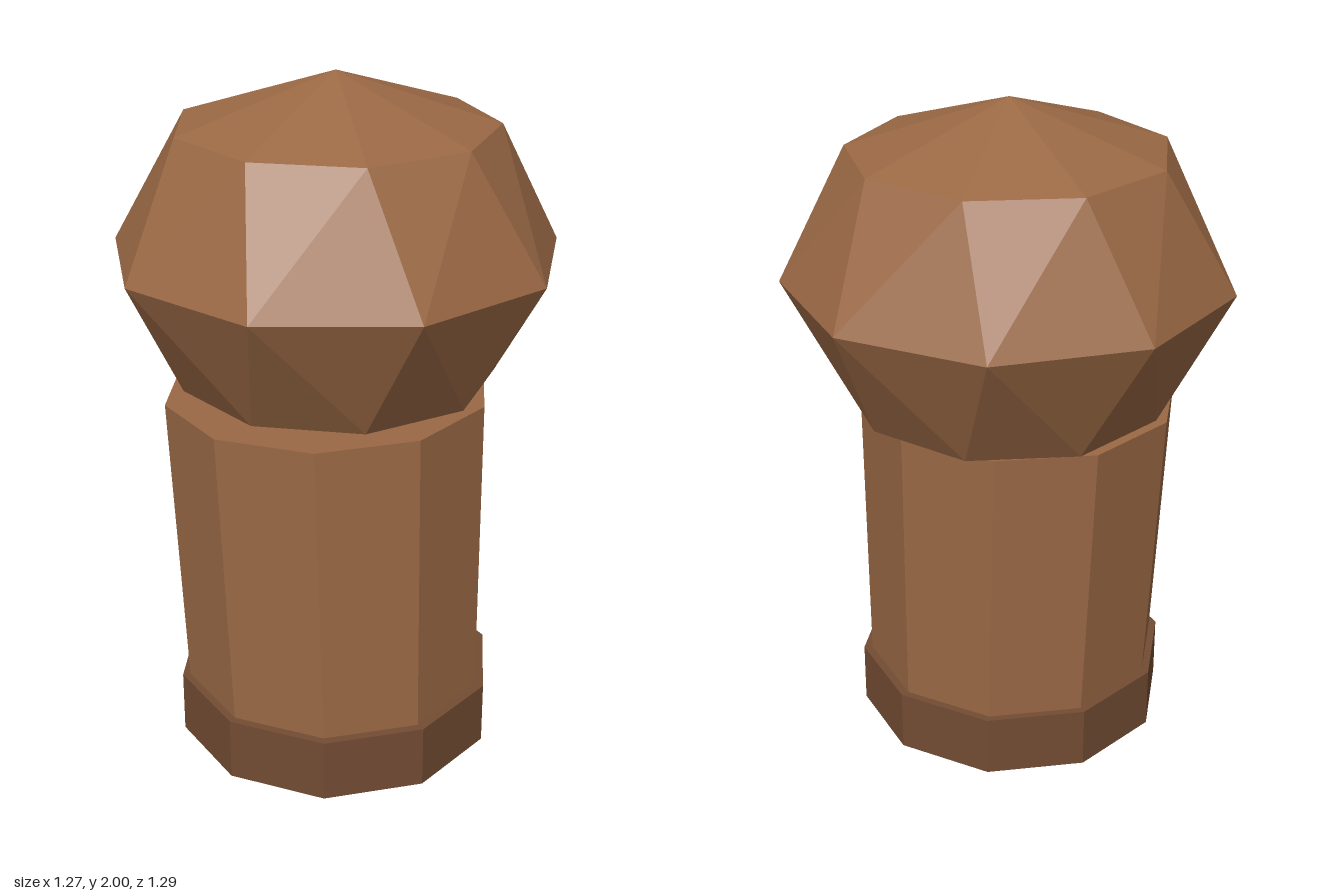
import * as THREE from 'three';
import { ConvexGeometry } from 'three/addons/geometries/ConvexGeometry.js';

// Ring of points around (cx, y, cz); start is the first angle in degrees,
// slope tilts the ring along z.
function ring(count, radius, cx, y, cz, start = 0, slope = 0) {
  return Array.from({ length: count }, (_, i) => {
    const a = THREE.MathUtils.degToRad(start + (360 / count) * i);
    const dz = radius * Math.sin(a);
    return new THREE.Vector3(cx + radius * Math.cos(a), y + slope * dz, cz + dz);
  });
}

function material(name, color) {
  const m = new THREE.MeshStandardMaterial({ color, flatShading: true });
  m.name = name;
  return m;
}

export function createModel() {
  const model = new THREE.Group();
  model.name = 'knobbedPost';
  const wood = material('wood brown', 0x9b6945);
  const darkWood = material('dark wood brown', 0x734c33);

  function add(name, points, mat) {
    const mesh = new THREE.Mesh(new ConvexGeometry(points), mat);
    mesh.name = name;
    model.add(mesh);
  }

  // Ten-sided foot
  add('foot', [...ring(10, 0.48, -0.097, 0, 0.062), ...ring(10, 0.48, -0.097, 0.19, 0.062)], darkWood);

  // Slightly flared, leaning shaft with a tilted top
  add('shaft', [
    ...ring(10, 0.453, -0.097, 0.1, 0.062),
    ...ring(10, 0.478, -0.097, 1.088, 0.032, 0, 0.03),
  ], wood);

  // Faceted nine-sided knob with twisted upper and lower rings
  add('knob', [
    new THREE.Vector3(-0.02, 2, 0),
    ...ring(9, 0.465, -0.02, 1.85, 0, 10),
    ...ring(9, 0.656, -0.02, 1.48, 0),
    ...ring(9, 0.465, -0.02, 1.108, 0, 10),
    new THREE.Vector3(-0.02, 0.96, 0),
  ], wood);

  return model;
}
